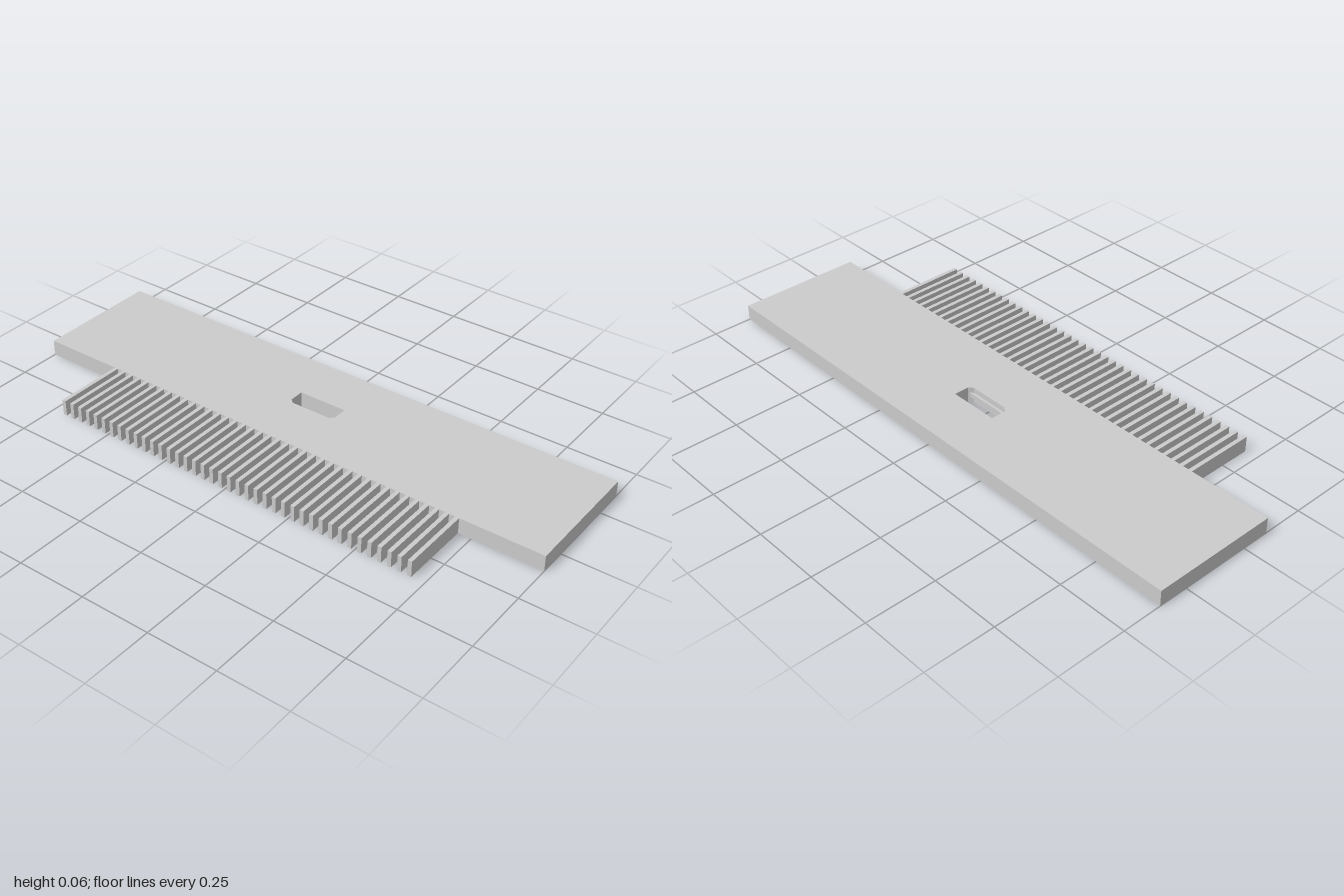
import * as THREE from 'three';

const U = 1 / 28;          // tooth pitch
const HEIGHT = 1.6 * U;
const BACK = -10 * U, JOIN = 2.8 * U, FRONT = 10 * U;

export function createModel() {
  const group = new THREE.Group();
  group.name = 'combGauge';
  const material = new THREE.MeshStandardMaterial({ color: 0xcccccc, flatShading: true });

  function addBox(name, x0, x1, y0, y1, z0, z1) {
    const mesh = new THREE.Mesh(new THREE.BoxGeometry(x1 - x0, y1 - y0, z1 - z0), material);
    mesh.position.set((x0 + x1) / 2, (y0 + y1) / 2, (z0 + z1) / 2);
    mesh.name = name;
    group.add(mesh);
  }

  // Plate outline in x and -z, with a slot chamfered at its front corners
  const outline = (points) => points.map(([x, z]) => new THREE.Vector2(x, -z));
  const shape = new THREE.Shape(outline([[-1, JOIN], [1, JOIN], [1, BACK], [-1, BACK]]));
  shape.holes.push(new THREE.Path(outline([
    [-0.09, -0.166], [0.09, -0.166], [0.09, -0.111],
    [0.075, -0.098], [-0.075, -0.098], [-0.09, -0.111],
  ])));
  const plateGeometry = new THREE.ExtrudeGeometry(shape, { depth: HEIGHT, bevelEnabled: false });
  plateGeometry.rotateX(-Math.PI / 2);
  const plate = new THREE.Mesh(plateGeometry, material);
  plate.name = 'plate';
  group.add(plate);

  // Narrow lip along the front wall of the slot
  addBox('slotLip', -0.085, 0.085, 0.02, 0.037, -0.107, -0.096);

  // Comb teeth
  const COUNT = 40, HALF = 0.2 * U;
  for (let i = 0; i < COUNT; i++) {
    const x = (i - (COUNT - 1) / 2) * U;
    addBox('tooth' + (i + 1), x - HALF, x + HALF, 0, HEIGHT, JOIN, FRONT);
  }
  return group;
}
